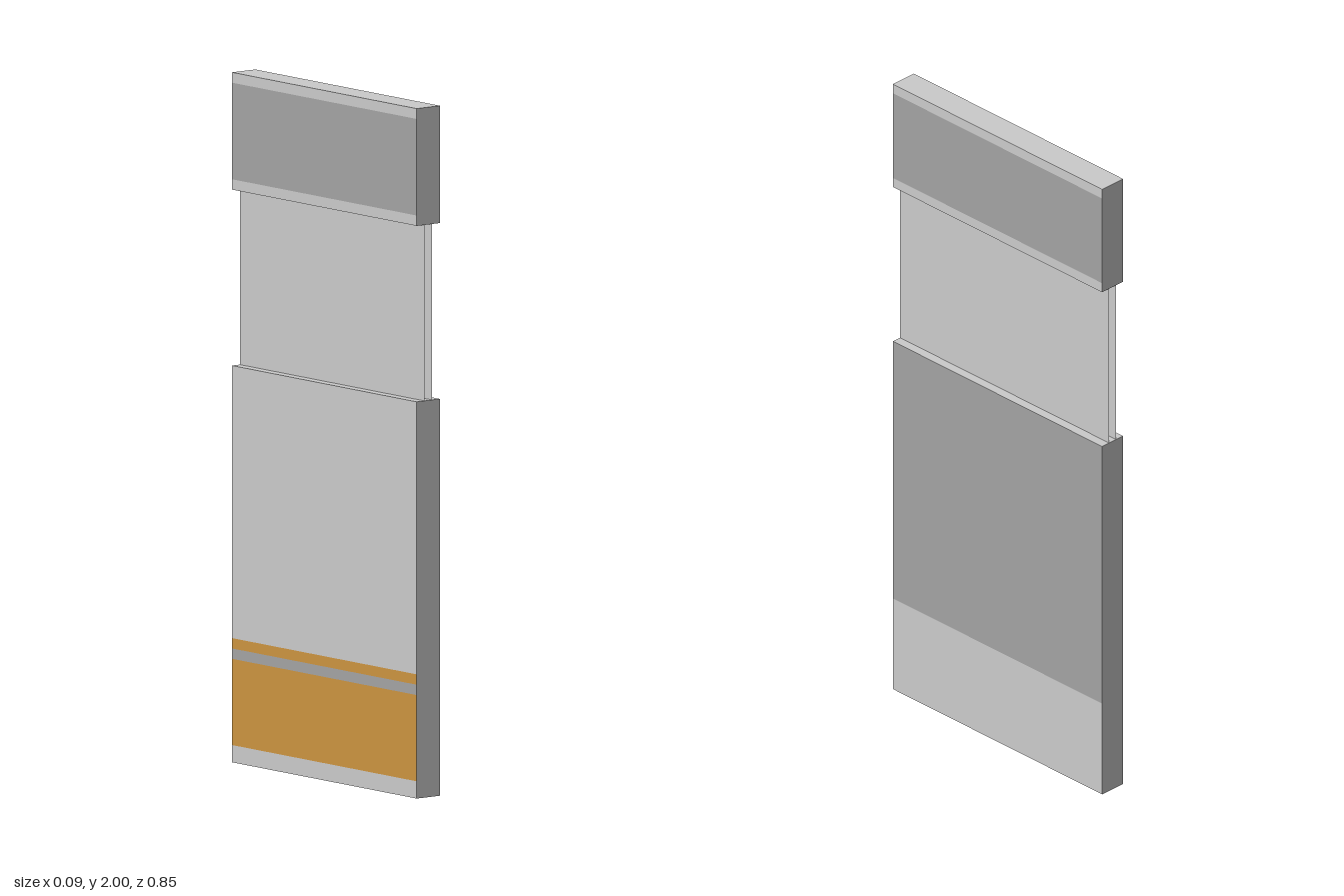
import * as THREE from 'three';

const T = 0.0425; // half thickness of the wall (x)
const W = 0.425;  // half width of the wall (z)
const SILL = 1.15, HEAD = 1.66, TOP = 2;

const mat = (color) => new THREE.MeshStandardMaterial({ color, side: THREE.DoubleSide });
const grey = mat(0xcccccc);
const dark = mat(0xa4a4a4);
const wood = mat(0xcc9440);

export function createModel() {
  const wall = new THREE.Group();
  wall.name = 'windowWall';

  // Upright sheet facing +x or -x
  const sheet = (name, x, y0, y1, material) => {
    const mesh = new THREE.Mesh(new THREE.PlaneGeometry(2 * W, y1 - y0), material);
    mesh.rotation.y = Math.sign(x) * Math.PI / 2;
    mesh.position.set(x, (y0 + y1) / 2, 0);
    mesh.name = name;
    wall.add(mesh);
  };

  // Narrow end faces closing a wall section at the front and back
  const ends = (name, y0, y1) => {
    for (const s of [1, -1]) {
      const mesh = new THREE.Mesh(new THREE.PlaneGeometry(2 * T, y1 - y0), grey);
      if (s < 0) mesh.rotation.y = Math.PI;
      mesh.position.set(0, (y0 + y1) / 2, s * W);
      mesh.name = name;
      wall.add(mesh);
    }
  };

  // Horizontal face, dir +1 looks up and -1 looks down
  const cap = (name, y, dir) => {
    const mesh = new THREE.Mesh(new THREE.PlaneGeometry(2 * T, 2 * W), grey);
    mesh.rotation.x = -dir * Math.PI / 2;
    mesh.position.y = y;
    mesh.name = name;
    wall.add(mesh);
  };

  // Lower wall, outer side: plinth and dark cladding
  sheet('outerPlinth', T, 0, 0.3, grey);
  sheet('outerCladding', T, 0.3, SILL, dark);

  // Lower wall, inner side: skirting, timber panel and rail, plain wall
  sheet('skirting', -T, 0, 0.05, grey);
  sheet('timberPanel', -T, 0.05, 0.3, wood);
  sheet('shadowGap', -T, 0.3, 0.33, dark);
  sheet('timberRail', -T, 0.33, 0.36, wood);
  sheet('innerWall', -T, 0.36, SILL, grey);
  ends('lowerWallEnd', 0, SILL);
  cap('windowSill', SILL, 1);

  // Header: dark panel between two light trims on both sides
  for (const x of [T, -T]) {
    sheet('headerLowerTrim', x, HEAD, 1.69, grey);
    sheet('headerPanel', x, 1.69, 1.97, dark);
    sheet('headerUpperTrim', x, 1.97, TOP, grey);
  }
  ends('headerEnd', HEAD, TOP);
  cap('headerUnderside', HEAD, -1);
  cap('headerTop', TOP, 1);

  // Double glazing, open at its ends
  for (const x of [0.014, -0.014]) sheet('windowPane', x, SILL, HEAD, grey);

  return wall;
}
